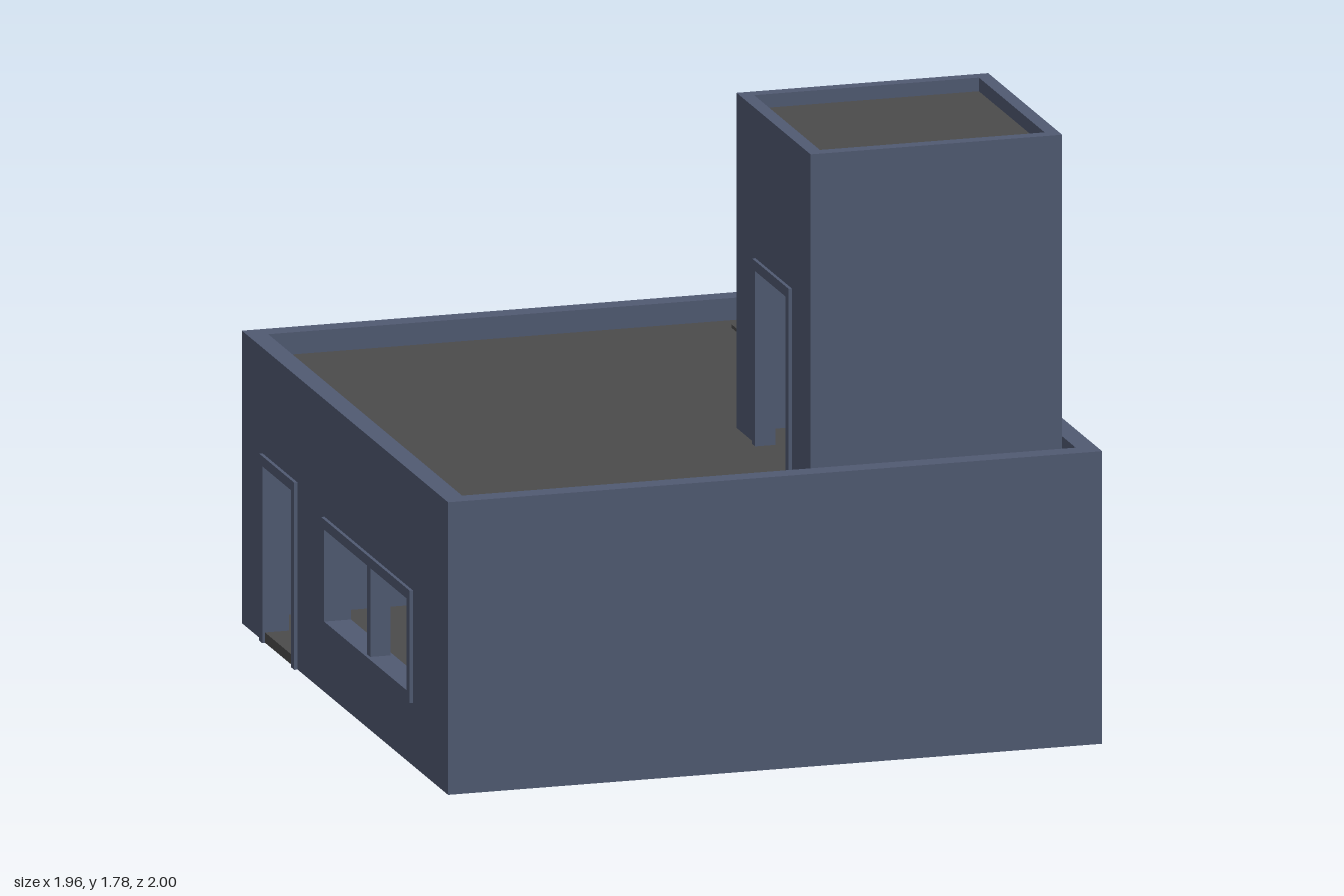
import * as THREE from 'three';

const wallMat = new THREE.MeshStandardMaterial({ color: 0x505a72 });
wallMat.name = 'slate blue wall';
const roofMat = new THREE.MeshStandardMaterial({ color: 0x4b4b4b });
roofMat.name = 'dark grey slab';

// Closed rectangle outline; doors are notches cut up from its bottom edge
function outline(a, b, y0, y1, doors = []) {
  const pts = [[a, y0]];
  for (const d of doors) pts.push([d.a, y0], [d.a, d.top], [d.b, d.top], [d.b, y0]);
  pts.push([b, y0], [b, y1], [a, y1]);
  return new THREE.Shape(pts.map(p => new THREE.Vector2(...p)));
}

function rectHole(a, b, y0, y1) {
  return new THREE.Path([[a, y0], [a, y1], [b, y1], [b, y0]].map(p => new THREE.Vector2(...p)));
}

export function createModel() {
  const model = new THREE.Group();
  model.name = 'houseWithRoofTower';

  function add(parent, name, geo, mat, x = 0, y = 0, z = 0) {
    const m = new THREE.Mesh(geo, mat);
    m.name = name;
    m.position.set(x, y, z);
    parent.add(m);
    return m;
  }
  const box = (parent, name, mat, x0, x1, y0, y1, z0, z1) =>
    add(parent, name, new THREE.BoxGeometry(x1 - x0, y1 - y0, z1 - z0), mat,
      (x0 + x1) / 2, (y0 + y1) / 2, (z0 + z1) / 2);

  // Upright panel centred on a plane; side panels run along z, others along x
  function panel(parent, name, shape, depth, side, at) {
    const geo = new THREE.ExtrudeGeometry(shape, { depth, bevelEnabled: false });
    geo.translate(0, 0, -depth / 2);
    if (side) geo.rotateY(-Math.PI / 2);
    return add(parent, name, geo, wallMat, side ? at : 0, 0, side ? 0 : at);
  }

  const F = 0.03;   // trim width
  const P = 0.01;   // trim projection

  // Wall with doors and windows, each with a trim frame on both faces
  function wall(parent, name, { a, b, y0, y1, t, side, at, doors = [], windows = [], trimBase = y0 }) {
    const shape = outline(a, b, y0, y1, doors);
    for (const w of windows) shape.holes.push(rectHole(w.a, w.b, w.y0, w.y1));
    panel(parent, name, shape, t, side, at);
    const depth = t + 2 * P;
    for (const d of doors) {
      const trim = outline(d.a - F, d.b + F, trimBase, d.top + F, [d]);
      panel(parent, name + 'DoorFrame', trim, depth, side, at);
    }
    for (const w of windows) {
      const trim = outline(w.a - F, w.b + F, w.y0 - F, w.y1 + F);
      trim.holes.push(rectHole(w.a, w.b, w.y0, w.y1));
      panel(parent, name + 'WindowFrame', trim, depth, side, at);
      if (w.mullion) {
        const c = (w.a + w.b) / 2;
        panel(parent, name + 'Mullion', outline(c - F / 2, c + F / 2, w.y0, w.y1), t, side, at);
      }
    }
  }

  // Main storey
  const house = new THREE.Group();
  house.name = 'mainStorey';
  model.add(house);
  const X = 0.972, Z = 1, T = 0.06, base = 0.03, top = 0.86, roofY = 0.795;
  const doorR = { a: 0.45, b: 0.73, top: 0.52 };
  const doorL = { a: -0.77, b: -0.49, top: 0.52 };
  for (const s of [1, -1]) {
    wall(house, s > 0 ? 'frontWall' : 'backWall',
      { a: -X, b: X, y0: base, y1: top, t: T, at: s * (Z - T / 2) });
    // Skirt under the walls
    box(house, 'skirt', wallMat, -X, X, 0, base, s * Z - (s > 0 ? 0.004 : 0), s * Z + (s > 0 ? 0 : 0.004));
    box(house, 'sideSkirt', wallMat, s * X - (s > 0 ? 0.004 : 0), s * X + (s > 0 ? 0 : 0.004), 0, base, -Z, Z);
  }
  const sideWall = { a: -Z + T, b: Z - T, y0: base, y1: top, t: T, side: true, trimBase: 0 };
  wall(house, 'doorSideWall', { ...sideWall, at: X - T / 2, doors: [doorR] });
  wall(house, 'windowSideWall', {
    ...sideWall, at: -X + T / 2, doors: [doorL],
    windows: [{ a: -0.17, b: 0.63, y0: 0.215, y1: 0.485, mullion: true }],
  });

  // Floor and door sills
  box(house, 'floor', roofMat, -X + 0.04, X - 0.04, 0.022, 0.031, -Z + 0.04, Z - 0.04);
  box(house, 'rightSill', roofMat, X - T, X + 0.002, 0.001, base + 0.001, doorR.a, doorR.b);
  box(house, 'leftSill', roofMat, -X - 0.002, -X + T, 0.001, base + 0.001, doorL.a, doorL.b);

  // Flat slab with an optional rectangular opening, laid at height y
  function slab(parent, name, x0, x1, z0, z1, y, depth, hole) {
    const shape = outline(x0, x1, -z1, -z0);
    if (hole) shape.holes.push(rectHole(hole.x0, hole.x1, -hole.z1, -hole.z0));
    const geo = new THREE.ExtrudeGeometry(shape, { depth, bevelEnabled: false });
    geo.rotateX(-Math.PI / 2);
    return add(parent, name, geo, roofMat, 0, y, 0);
  }

  // Roof deck with a framed hatch opening
  const hatch = { x0: 0.47, x1: 0.72, z0: -0.83, z1: -0.5 };
  slab(house, 'roofDeck', -X + T, X - T, -Z + T, Z - T, roofY - 0.04, 0.04, hatch);
  slab(house, 'hatchFrame', hatch.x0 - F, hatch.x1 + F, hatch.z0 - F, hatch.z1 + F,
    roofY - 0.05, 0.06, hatch);

  // Tower on the roof
  const tower = new THREE.Group();
  tower.name = 'tower';
  model.add(tower);
  const x0 = 0.127, x1 = 0.875, z0 = 0.212, z1 = 0.93, t = 0.04, towerTop = 1.78;
  const tw = { y0: roofY, y1: towerTop, t };
  wall(tower, 'towerFront', { ...tw, a: x0, b: x1, at: z1 - t / 2 });
  wall(tower, 'towerBack', {
    ...tw, a: x0, b: x1, at: z0 + t / 2, doors: [{ a: 0.355, b: 0.645, top: 1.31 }],
  });
  const ts = { ...tw, a: z0 + t, b: z1 - t, side: true };
  wall(tower, 'towerDoorSide', { ...ts, at: x0 + t / 2, doors: [{ a: 0.425, b: 0.72, top: 1.31 }] });
  wall(tower, 'towerWindowSide', {
    ...ts, at: x1 - t / 2, windows: [{ a: 0.4, b: 0.755, y0: 1.04, y1: 1.31 }],
  });
  slab(tower, 'towerRoof', x0 + t, x1 - t, z0 + t, z1 - t, towerTop - 0.08, 0.04);

  return model;
}
